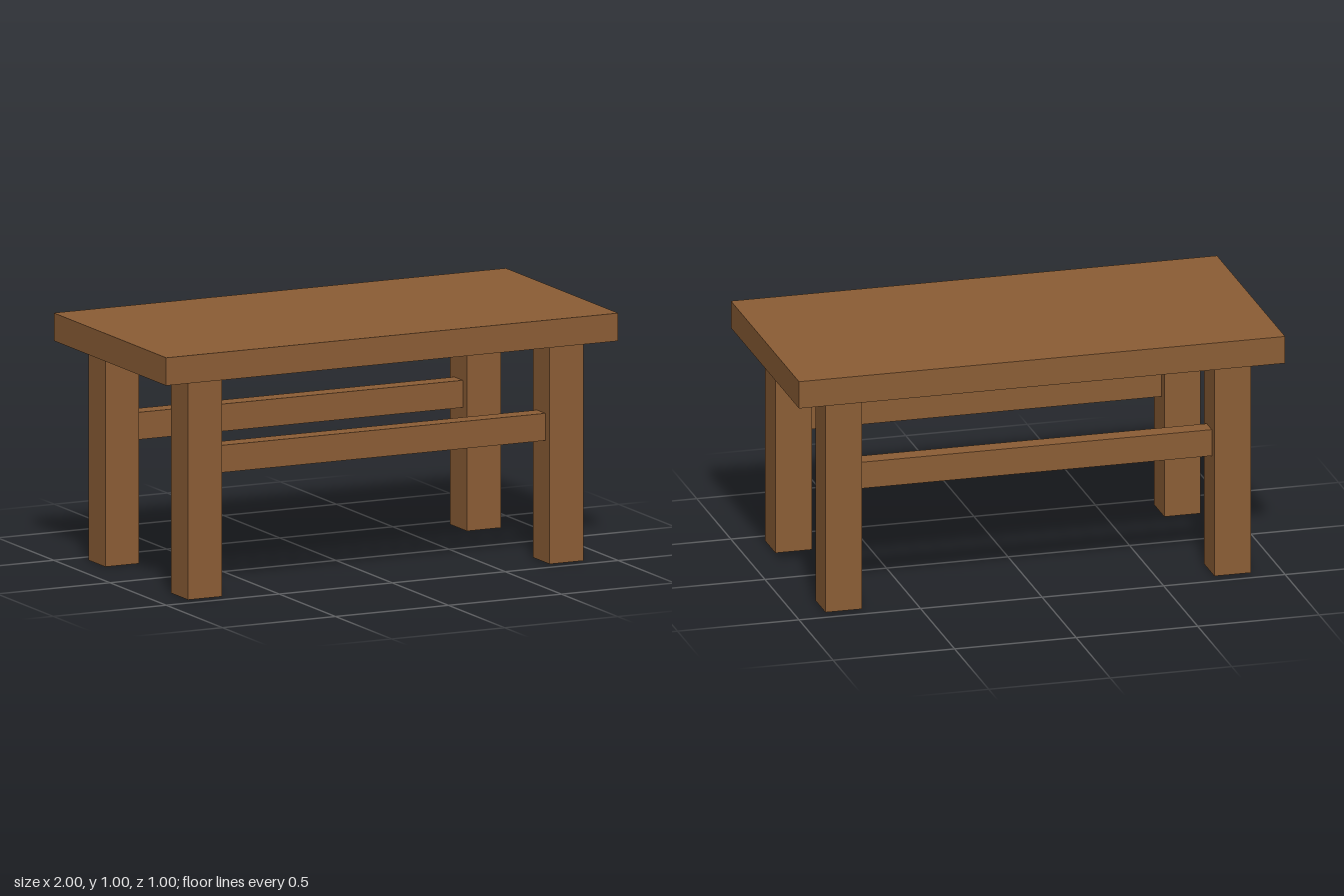
import * as THREE from 'three';

export function createModel() {
  const table = new THREE.Group();
  table.name = 'table';
  const wood = new THREE.MeshStandardMaterial({ color: 0x8b5d35 });
  wood.name = 'brown wood';

  const addBox = (name, [w, h, d], [x, y, z]) => {
    const mesh = new THREE.Mesh(new THREE.BoxGeometry(w, h, d), wood);
    mesh.name = name;
    mesh.position.set(x, y, z);
    table.add(mesh);
  };

  const legX = 0.8, legZ = 0.3675, legWidth = 0.15;
  const topThickness = 0.1125, legHeight = 1 - topThickness;

  // Thick slab top
  addBox('tabletop', [2, topThickness, 1], [0, 1 - topThickness / 2, 0]);

  for (const [end, sz] of [['front', 1], ['back', -1]]) {
    // Square legs
    for (const [side, sx] of [['Left', 1], ['Right', -1]]) {
      addBox(`${end}${side}Leg`, [legWidth, legHeight, legWidth], [sx * legX, legHeight / 2, sz * legZ]);
    }
    // Long rail joining each pair of legs
    addBox(`${end}Stretcher`, [2 * legX - legWidth, 0.11, 0.075], [0, 0.5475, sz * legZ]);
  }
  return table;
}
